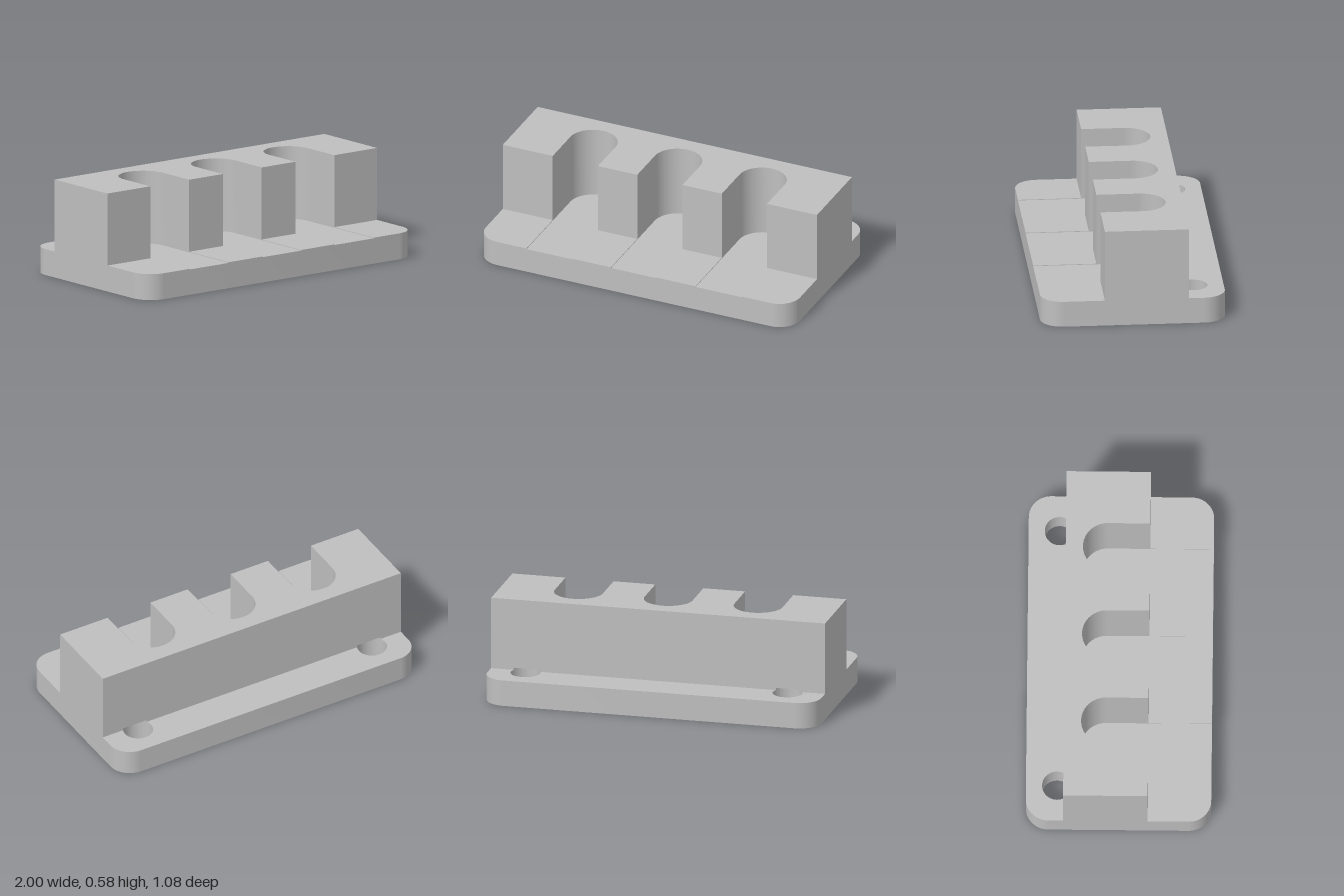
import * as THREE from 'three';
import { toCreasedNormals } from 'three/addons/utils/BufferGeometryUtils.js';

// Plan dimensions; shape y is -z, so the front lies at negative y
const HALF_DEPTH = 0.5375, CORNER = 0.13;
const BLOCK_FRONT = -0.17, BLOCK_BACK = 0.32;
const SLOTS = [-0.538, 0, 0.538], SLOT_R = 0.144, SLOT_Y = 0.076;
const HOLES = [0.785, -0.785], HOLE_R = 0.087, HOLE_Y = 0.357;
// Heights of the successive levels
const FLOOR = 0.15, PLATE_TOP = 0.154, RELIEF_TOP = 0.167, TOP = 0.581;

// Round-ended slots cut inwards from a front edge
function cutSlots(shape, frontY) {
  for (const x of SLOTS) {
    shape.lineTo(x - SLOT_R, frontY);
    shape.lineTo(x - SLOT_R, SLOT_Y);
    shape.absarc(x, SLOT_Y, SLOT_R, Math.PI, 0, true);
    shape.lineTo(x + SLOT_R, frontY);
  }
}

// Rounded plate outline with two bolt holes
function plateShape(slotted) {
  const s = new THREE.Shape();
  const x = 1 - CORNER, y = HALF_DEPTH - CORNER, q = Math.PI / 2;
  s.moveTo(-x, -HALF_DEPTH);
  if (slotted) cutSlots(s, -HALF_DEPTH);
  s.absarc(x, -y, CORNER, -q, 0, false);
  s.absarc(x, y, CORNER, 0, q, false);
  s.absarc(-x, y, CORNER, q, 2 * q, false);
  s.absarc(-x, -y, CORNER, 2 * q, 3 * q, false);
  for (const hx of HOLES) {
    const hole = new THREE.Path();
    hole.absarc(hx, HOLE_Y, HOLE_R, 0, Math.PI * 2, true);
    s.holes.push(hole);
  }
  return s;
}

// Slotted block outline, optionally relieved where the bolt holes reach under it
function blockShape(relieved) {
  const s = new THREE.Shape();
  s.moveTo(-1, BLOCK_FRONT);
  cutSlots(s, BLOCK_FRONT);
  s.lineTo(1, BLOCK_FRONT);
  s.lineTo(1, BLOCK_BACK);
  if (relieved) {
    const a = Math.asin((BLOCK_BACK - HOLE_Y) / HOLE_R);
    for (const hx of HOLES) s.absarc(hx, HOLE_Y, HOLE_R, a, -Math.PI - a, true);
  }
  s.lineTo(-1, BLOCK_BACK);
  s.closePath();
  return s;
}

export function createModel() {
  const group = new THREE.Group();
  const grey = new THREE.MeshStandardMaterial({ color: 0xbfbfbf });
  grey.name = 'plain grey';

  // Stand a plan outline up between two heights
  function addLayer(name, shape, bottom, top) {
    const extruded = new THREE.ExtrudeGeometry(shape, {
      depth: top - bottom, bevelEnabled: false, curveSegments: 32,
    });
    extruded.rotateX(-Math.PI / 2);
    const mesh = new THREE.Mesh(toCreasedNormals(extruded, 0.6), grey);
    mesh.position.y = bottom;
    mesh.name = name;
    group.add(mesh);
  }

  addLayer('basePlate', plateShape(false), 0, FLOOR);
  // Thin top skin of the plate leaves shallow channels running to the front
  addLayer('plateSkin', plateShape(true), FLOOR, PLATE_TOP);
  addLayer('blockFoot', blockShape(true), PLATE_TOP, RELIEF_TOP);
  addLayer('slottedBlock', blockShape(false), RELIEF_TOP, TOP);
  return group;
}
